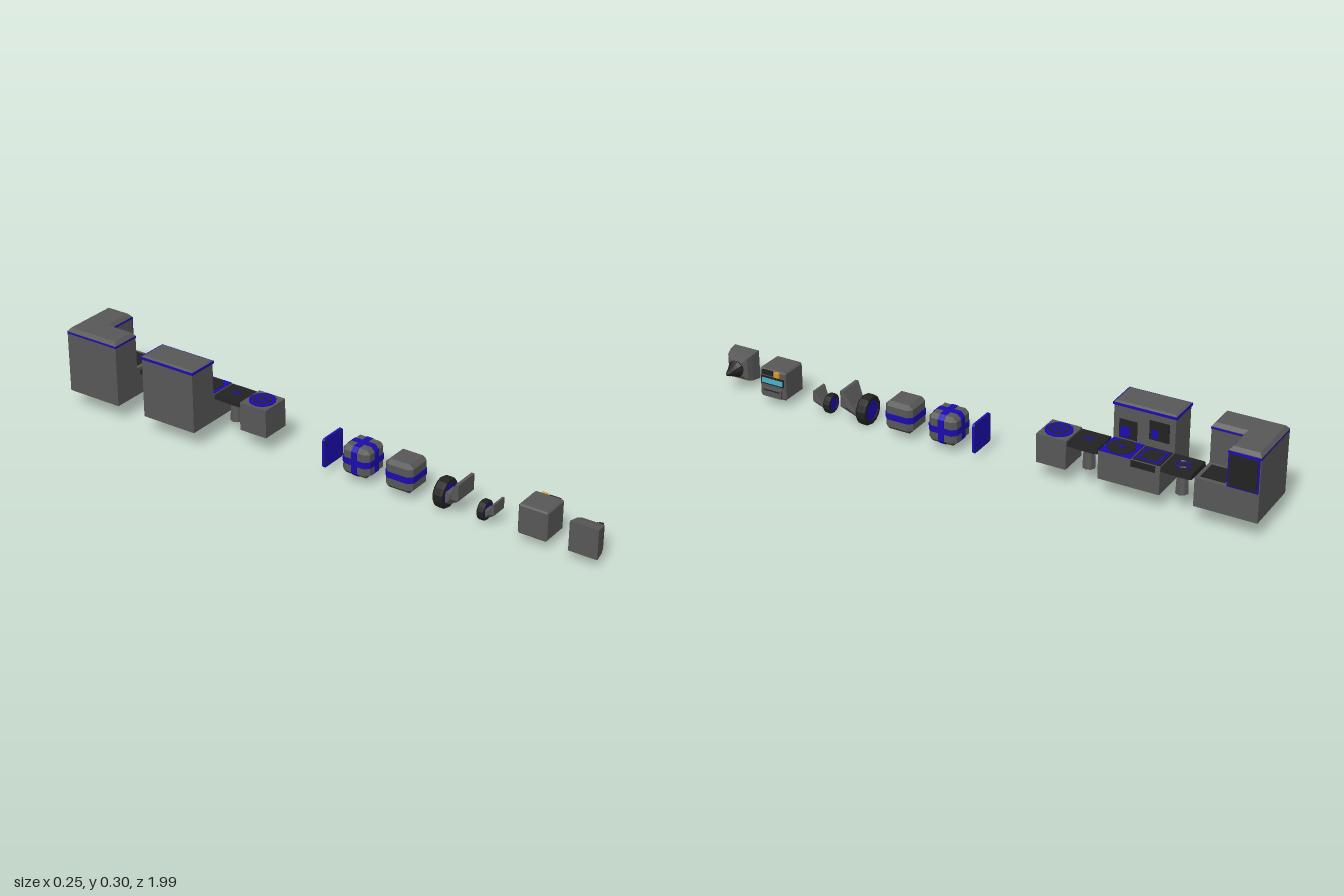
import * as THREE from 'three';
import { ConvexGeometry } from 'three/addons/geometries/ConvexGeometry.js';

const mat = (color) => new THREE.MeshStandardMaterial({ color, flatShading: true });
const GREY = mat(0x585858), DARK = mat(0x222222), BLUE = mat(0x1c0cb0);
const CYAN = mat(0x49b4cc), YELLOW = mat(0xd99a1c);
const CX = 0.045; // shared x centre line of the small blocks

function add(parent, name, geometry, material, x = 0, y = 0, z = 0) {
  const mesh = new THREE.Mesh(geometry, material);
  mesh.name = name;
  mesh.position.set(x, y, z);
  parent.add(mesh);
  return mesh;
}

// Box given by its limits on each axis
function box(parent, name, m, [x0, x1], [y0, y1], [z0, z1]) {
  return add(parent, name, new THREE.BoxGeometry(x1 - x0, y1 - y0, z1 - z0), m,
    (x0 + x1) / 2, (y0 + y1) / 2, (z0 + z1) / 2);
}

// Box with all edges cut by c
function chamferBox(w, h, d, c) {
  const pts = [];
  for (const i of [-1, 1]) for (const j of [-1, 1]) for (const k of [-1, 1]) {
    const a = w / 2, b = h / 2, e = d / 2;
    pts.push(new THREE.Vector3(i * a, j * (b - c), k * (e - c)),
      new THREE.Vector3(i * (a - c), j * b, k * (e - c)),
      new THREE.Vector3(i * (a - c), j * (b - c), k * e));
  }
  return new ConvexGeometry(pts);
}

// Hull of rectangles stacked along y: [y, x0, x1, z0, z1]
function frustum(...rows) {
  return new ConvexGeometry(rows.flatMap(([y, x0, x1, z0, z1]) =>
    [[x0, z0], [x1, z0], [x1, z1], [x0, z1]].map(([x, z]) => new THREE.Vector3(x, y, z))));
}

const polygon = (pts) => new THREE.Shape(pts.map(([x, y]) => new THREE.Vector2(x, y)));

// Square with cut corners, extruded along z and centred
function octagonSlab(s, c, depth) {
  const a = s / 2, b = a - c;
  const shape = polygon([[b, -a], [a, -b], [a, b], [b, a], [-b, a], [-a, b], [-a, -b], [-b, -a]]);
  return new THREE.ExtrudeGeometry(shape, { depth, bevelEnabled: false }).translate(0, 0, -depth / 2);
}

function part(root, name) {
  const g = new THREE.Group();
  g.name = name;
  root.add(g);
  return g;
}

function drill(root) {
  const g = part(root, 'drill');
  g.position.set(0, 0.081, 0.945);
  const body = [[-0.006, 0.052], [0.028, 0.048], [0.05, 0.041], [0.058, 0.025]].flatMap(([x, r]) =>
    [[-1, -1], [-1, 1], [1, -1], [1, 1]].map(([j, k]) => new THREE.Vector3(x, j * r, k * r * 0.96)));
  add(g, 'drillBody', new ConvexGeometry(body), GREY);
  const profile = [[0, 0.055], [0.027, 0.055], [0.031, 0.064], [0.022, 0.074], [0.024, 0.076], [0.017, 0.086],
    [0.018, 0.088], [0.011, 0.1], [0.012, 0.102], [0, 0.122]].map(([r, x]) => new THREE.Vector2(r, x));
  add(g, 'drillBit', new THREE.LatheGeometry(profile, 10), DARK).rotation.z = -Math.PI / 2;
}

function controlBlock(root) {
  const g = part(root, 'controlBlock');
  add(g, 'controlBody', chamferBox(0.104, 0.104, 0.104, 0.005), GREY, CX, 0.082, 0.768);
  box(g, 'screenFrame', DARK, [0.094, 0.099], [0.078, 0.108], [0.722, 0.814]);
  box(g, 'screen', CYAN, [0.096, 0.101], [0.083, 0.101], [0.727, 0.809]);
  box(g, 'lowerPanel', GREY, [0.094, 0.106], [0.036, 0.068], [0.73, 0.805]);
  box(g, 'panelSlot', DARK, [0.1, 0.107], [0.058, 0.062], [0.735, 0.8]);
  box(g, 'button', YELLOW, [0.094, 0.106], [0.114, 0.131], [0.737, 0.757]);
  box(g, 'buttonPlate', DARK, [0.094, 0.102], [0.114, 0.131], [0.765, 0.806]);
}

// Wheel with its slanted mounting plate; s scales the whole part
function wheel(root, name, s, y, z) {
  const g = part(root, name);
  g.position.set(CX, y, z);
  g.scale.setScalar(s);
  const tyre = [[0.036, -0.018], [0.048, -0.018], [0.053, -0.011], [0.053, 0.011], [0.048, 0.018], [0.036, 0.018], [0.036, -0.018]]
    .map(([r, h]) => new THREE.Vector2(r, h));
  add(g, 'tyre', new THREE.LatheGeometry(tyre, 14), DARK).rotation.x = Math.PI / 2;
  add(g, 'hub', new THREE.CylinderGeometry(0.038, 0.038, 0.03, 14), BLUE).rotation.x = Math.PI / 2;
  // mounting plate leaning over the wheel
  add(g, 'mountPlate', frustum([0.07, -0.047, 0.047, 0.066, 0.077], [0.012, -0.047, 0.047, 0.05, 0.077],
    [-0.022, -0.026, 0.026, 0.02, 0.034]), GREY);
  add(g, 'mountNeck', frustum([0.014, -0.024, 0.024, 0.012, 0.055], [-0.022, -0.024, 0.024, 0.012, 0.03]), GREY);
}

function bandedCube(root, name, z, axes) {
  const g = part(root, name);
  g.position.set(CX, 0.082, z);
  add(g, 'cube', chamferBox(0.104, 0.104, 0.104, 0.014), GREY);
  for (const axis of axes) {
    const band = add(g, 'band', octagonSlab(0.108, 0.015, 0.022), BLUE);
    if (axis === 'x') band.rotation.y = Math.PI / 2;
    if (axis === 'y') band.rotation.x = Math.PI / 2;
  }
}

function wallPlate(root) {
  const g = part(root, 'wallPlate');
  g.position.set(0.041, 0.08, -0.01);
  add(g, 'plate', octagonSlab(0.105, 0.006, 0.009), BLUE);
  for (const i of [-1, 1]) for (const j of [-1, 1])
    add(g, 'bolt', new THREE.CylinderGeometry(0.006, 0.006, 0.013, 8), DARK, i * 0.038, j * 0.038).rotation.x = Math.PI / 2;
}

function ringBlock(root) {
  const g = part(root, 'ringBlock');
  box(g, 'ringBase', GREY, [-0.012, 0.097], [0.065, 0.167], [-0.347, -0.241]);
  [[0.046, 0.172, BLUE], [0.033, 0.174, DARK], [0.025, 0.175, BLUE], [0.013, 0.176, DARK], [0.006, 0.177, BLUE]]
    .forEach(([r, top, m]) => add(g, 'ring', new THREE.CylinderGeometry(r, r, 0.012, 16), m, 0.043, top - 0.006, -0.294));
}

// Thin dark table on a stalk
function table(root, name, z, symbol) {
  const g = part(root, name);
  g.position.set(0.041, 0, z);
  add(g, 'tableTop', frustum([0.164, -0.049, 0.049, -0.051, 0.051], [0.148, -0.052, 0.052, -0.053, 0.053]), DARK);
  add(g, 'tableUnderside', frustum([0.148, -0.049, 0.049, -0.05, 0.05], [0.132, -0.03, 0.03, -0.03, 0.03]), GREY);
  add(g, 'stalk', new THREE.CylinderGeometry(0.019, 0.022, 0.07, 8), GREY, 0, 0.1, 0);
  if (symbol === 'ring') {
    add(g, 'ringMark', new THREE.TorusGeometry(0.021, 0.003, 4, 8), BLUE, 0, 0.164, 0).rotation.x = Math.PI / 2;
  } else {
    box(g, 'mark', BLUE, [-0.003, 0.003], [0.16, 0.167], [-0.012, 0.018]);
    box(g, 'mark', BLUE, [-0.01, 0.01], [0.16, 0.167], [-0.008, -0.003]);
  }
}

function cabinet(root) {
  const g = part(root, 'cabinet');
  const z = [-0.67, -0.458];
  box(g, 'cabinetBody', GREY, [-0.12, -0.011], [0.065, 0.281], z);
  box(g, 'roofTrim', BLUE, [-0.124, -0.007], [0.28, 0.288], [-0.674, -0.454]);
  add(g, 'roof', frustum([0.288, -0.121, -0.01, -0.671, -0.457], [0.293, -0.114, -0.017, -0.664, -0.464]), GREY);
  box(g, 'counter', GREY, [-0.011, 0.094], [0.065, 0.163], z);
  // windows on the tall face
  box(g, 'window', DARK, [-0.02, -0.008], [0.17, 0.235], [-0.54, -0.478]);
  box(g, 'windowGlow', BLUE, [-0.02, -0.006], [0.175, 0.212], [-0.515, -0.483]);
  box(g, 'window', DARK, [-0.02, -0.008], [0.19, 0.256], [-0.65, -0.582]);
  box(g, 'windowGlow', BLUE, [-0.02, -0.007], [0.197, 0.227], [-0.612, -0.59]);
  box(g, 'drawer', DARK, [0.09, 0.0955], [0.14, 0.163], [-0.654, -0.57]);
  // work surfaces on the counter
  box(g, 'counterTrim', BLUE, [-0.009, 0.092], [0.16, 0.165], [-0.568, -0.46]);
  add(g, 'turntable', new THREE.CylinderGeometry(0.046, 0.046, 0.008, 10), DARK, 0.041, 0.164, -0.513);
  box(g, 'turntableMark', BLUE, [0.036, 0.046], [0.165, 0.169], [-0.525, -0.502]);
  box(g, 'hob', DARK, [-0.005, 0.088], [0.16, 0.166], [-0.667, -0.573]);
  box(g, 'hobFrame', BLUE, [0.003, 0.08], [0.16, 0.167], [-0.66, -0.583]);
  box(g, 'hobCentre', DARK, [0.011, 0.072], [0.16, 0.168], [-0.652, -0.591]);
}

// Corner unit: L-shaped upper part over a full base
function cornerUnit(root) {
  const g = part(root, 'cornerUnit');
  const L = (x0, x1, xi, zi, z0, z1) => polygon([[x0, -z1], [xi, -z1], [xi, -zi], [x1, -zi], [x1, -z0], [x0, -z0]]);
  const slab = (name, shape, depth, y, m) =>
    add(g, name, new THREE.ExtrudeGeometry(shape, { depth, bevelEnabled: false }).rotateX(-Math.PI / 2), m, 0, y);
  box(g, 'unitBase', GREY, [-0.115, 0.1], [0.065, 0.165], [-1, -0.788]);
  slab('unitUpper', L(-0.115, 0.1, -0.01, -0.894, -1, -0.788), 0.118, 0.165, GREY);
  slab('unitTrim', L(-0.1165, 0.1015, -0.0085, -0.8925, -1, -0.7865), 0.006, 0.282, BLUE);
  const roof = new THREE.ExtrudeGeometry(L(-0.115, 0.1, -0.01, -0.894, -1, -0.788),
    { depth: 0.003, bevelThickness: 0.012, bevelSize: 0.01, bevelOffset: -0.01, bevelSegments: 1 }).rotateX(-Math.PI / 2);
  add(g, 'unitRoof', roof, GREY, 0, 0.287);
  box(g, 'sidePanel', DARK, [0.095, 0.107], [0.172, 0.28], [-0.992, -0.9]);
  box(g, 'panelTrim', BLUE, [0.095, 0.104], [0.167, 0.284], [-0.997, -0.895]);
  box(g, 'worktop', DARK, [0.006, 0.086], [0.16, 0.168], [-0.882, -0.802]);
}

export function createModel() {
  const root = new THREE.Group();
  root.name = 'modularParts';
  drill(root);
  controlBlock(root);
  wheel(root, 'smallWheel', 0.66, 0.039, 0.569);
  wheel(root, 'largeWheel', 1, 0.054, 0.422);
  bandedCube(root, 'bandCube', 0.274, ['y']);
  bandedCube(root, 'crossCube', 0.108, ['x', 'y', 'z']);
  wallPlate(root);
  ringBlock(root);
  table(root, 'frontTable', -0.401, 'arrow');
  cabinet(root);
  table(root, 'rearTable', -0.723, 'ring');
  cornerUnit(root);
  return root;
}
